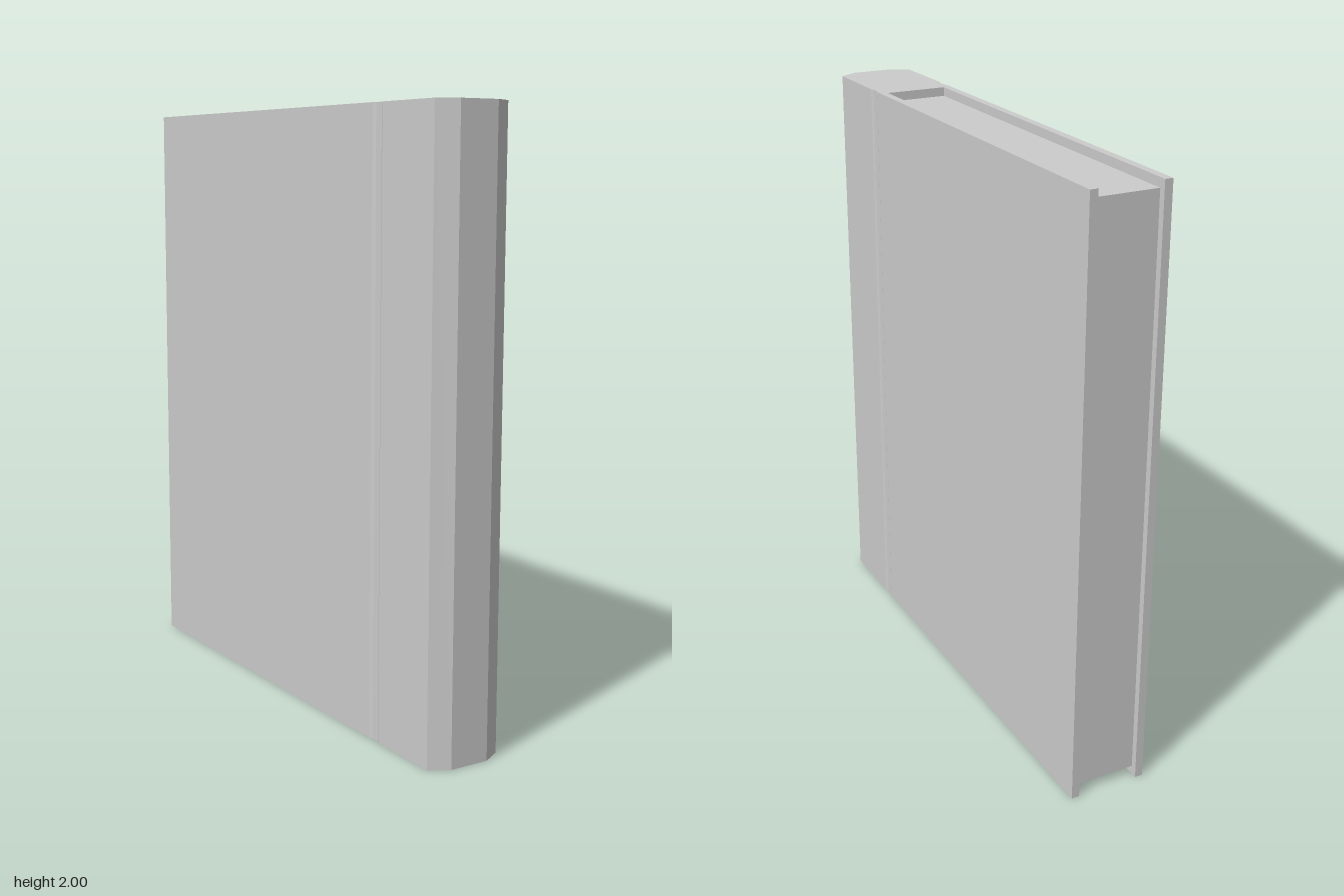
import * as THREE from 'three';

export function createModel() {
  const book = new THREE.Group();
  book.name = 'book';
  const material = new THREE.MeshStandardMaterial({ color: 0xcccccc, flatShading: true });

  const add = (name, geometry) => {
    const mesh = new THREE.Mesh(geometry, material);
    mesh.name = name;
    book.add(mesh);
    return mesh;
  };

  // Half of the U-shaped binding seen from above, as [x, z] from the spine's
  // chamfered front, past the hinge groove, round the cover to the page slot
  const half = [
    [0.068, 0.882], [0.133, 0.845],
    [0.133, 0.585], [0.128, 0.575], [0.128, 0.545], [0.133, 0.532],
    [0.133, -0.882], [0.106, -0.882], [0.106, 0.5],
  ];
  const mirrored = half.map(([x, z]) => [-x, z]).reverse();
  const outline = [...half, ...mirrored].map(([x, z]) => new THREE.Vector2(x, -z));

  // Covers and solid spine, extruded over the full height
  const binding = new THREE.ExtrudeGeometry(new THREE.Shape(outline), { depth: 2, bevelEnabled: false });
  binding.rotateX(-Math.PI / 2);
  add('coversAndSpine', binding);

  // Page block, set in a little from the covers at top, bottom and back
  const pages = add('pages', new THREE.BoxGeometry(0.212, 1.94, 1.36));
  pages.position.set(0, 1, -0.18);

  return book;
}
